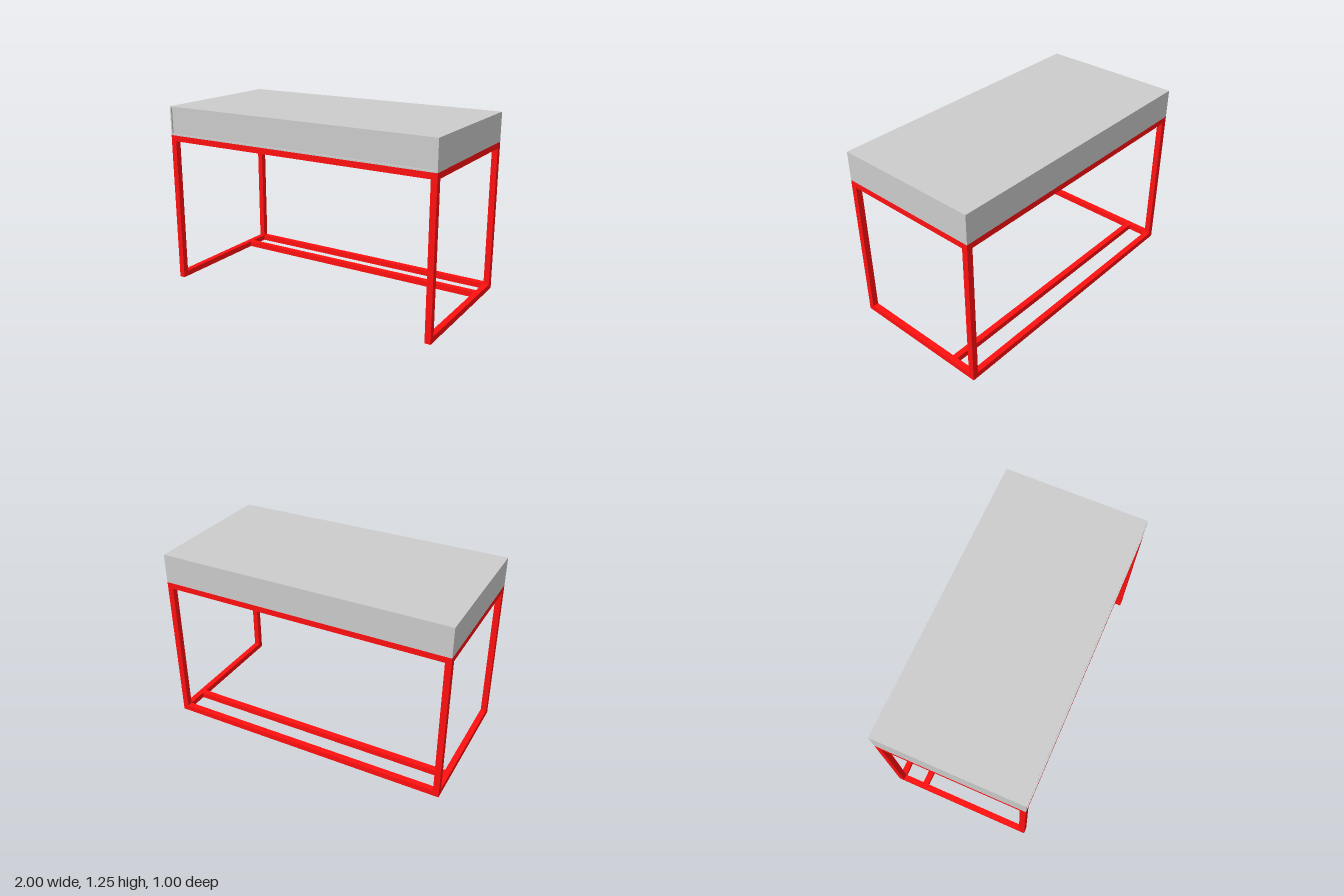
import * as THREE from 'three';

const W = 2, D = 1, T = 0.04;       // width, depth, tube thickness
const FRAME_TOP = 1.05, TOP = 1.25; // top of the frame, top of the case
const LIP = 0.01;                   // thickness and depth of the rim round the drawer

export function createModel() {
  const model = new THREE.Group();
  const grey = new THREE.MeshStandardMaterial({ color: 0xcccccc });
  const red = new THREE.MeshStandardMaterial({ color: 0xff1010 });

  function box(parent, name, size, position, material) {
    const mesh = new THREE.Mesh(new THREE.BoxGeometry(...size), material);
    mesh.position.set(...position);
    mesh.name = name;
    parent.add(mesh);
  }

  // Square-tube frame
  const frame = new THREE.Group();
  frame.name = 'frame';
  model.add(frame);
  const ex = W / 2 - T / 2, ez = D / 2 - T / 2;
  const railY = FRAME_TOP - T / 2;
  const inner = W - 2 * T;

  for (const [side, x] of [['left', ex], ['right', -ex]]) {
    for (const [end, z] of [['Front', ez], ['Back', -ez]]) {
      box(frame, side + end + 'Leg', [T, FRAME_TOP - T, T], [x, (FRAME_TOP - T) / 2, z], red);
    }
    box(frame, side + 'TopRail', [T, T, D], [x, railY, 0], red);
    box(frame, side + 'FootRail', [T, T, D - 2 * T], [x, T / 2, 0], red);
  }

  // Long rails under the case: front, middle and back
  for (const [name, z] of [['front', ez], ['middle', 0], ['back', -ez]]) {
    box(frame, name + 'TopRail', [inner, T, T], [0, railY, z], red);
  }

  // Two long foot rails near the back
  box(frame, 'backFootRail', [inner, T, T], [0, T / 2, -ez], red);
  box(frame, 'innerFootRail', [inner, T, T], [0, T / 2, -0.3], red);

  // Case, with the drawer front set just behind a thin rim
  const desk = new THREE.Group();
  desk.name = 'case';
  model.add(desk);
  const h = TOP - FRAME_TOP, midY = (TOP + FRAME_TOP) / 2;
  box(desk, 'caseBody', [W, h, D - LIP], [0, midY, -LIP / 2], grey);

  const rectangle = (PathType, w, t) => new PathType([
    [-w / 2, -t / 2], [w / 2, -t / 2], [w / 2, t / 2], [-w / 2, t / 2],
  ].map(([x, y]) => new THREE.Vector2(x, y)));
  const outline = rectangle(THREE.Shape, W, h);
  outline.holes.push(rectangle(THREE.Path, W - 2 * LIP, h - 2 * LIP));
  const rim = new THREE.Mesh(
    new THREE.ExtrudeGeometry(outline, { depth: LIP, bevelEnabled: false }), grey);
  rim.position.set(0, midY, D / 2 - LIP);
  rim.name = 'drawerRim';
  desk.add(rim);

  return model;
}
